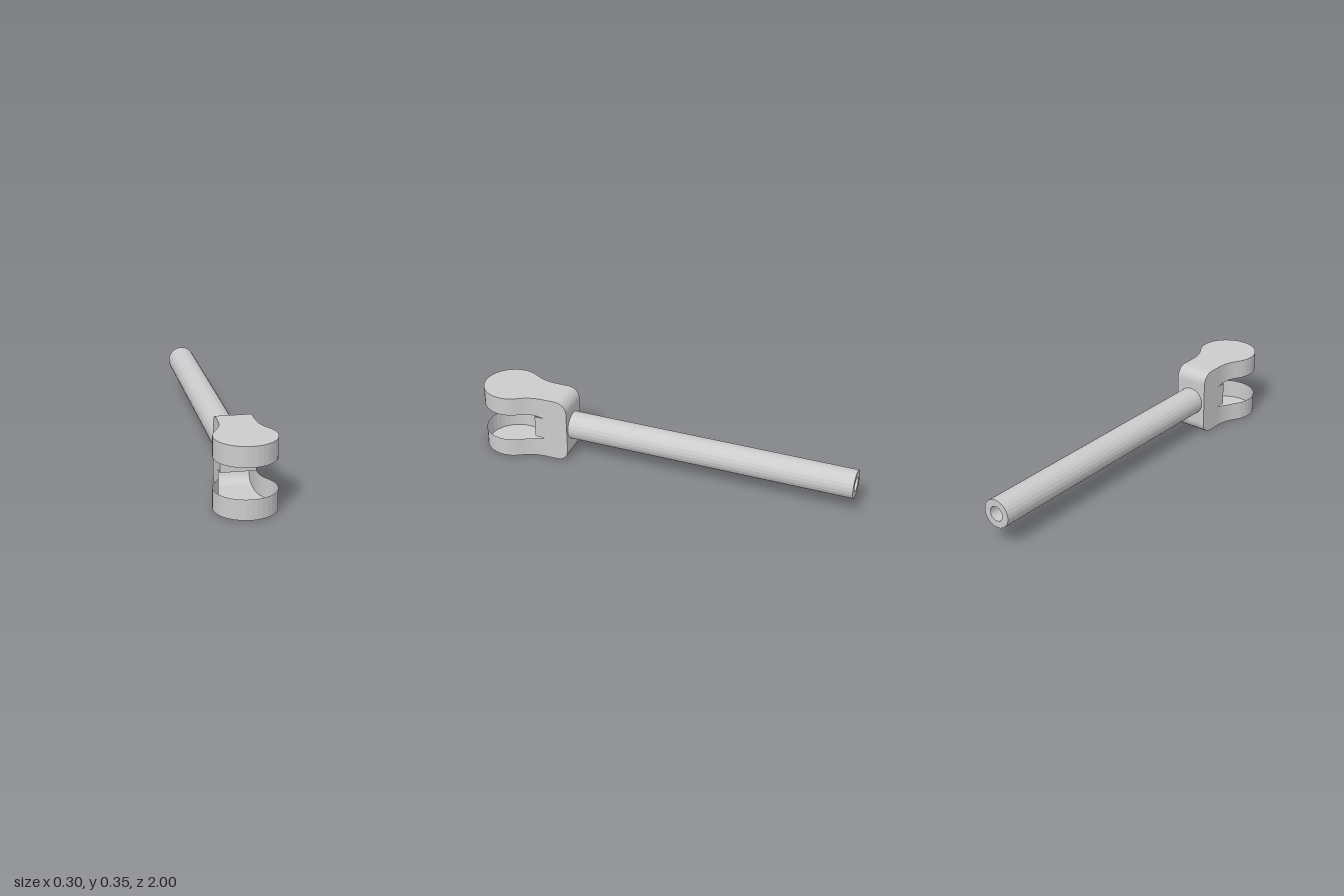
import * as THREE from 'three';

const H = 0.35;                       // fork height
const MID = H / 2;
const W = 0.087;                      // half width of the yoke
const BACK = 0.51, NECK = 0.64, PLATE = 0.69;
const FILLET = 0.06;                  // rounding of the yoke's rear edges
const EYE = { z: 0.85, r: 0.15 };     // round end of each arm
const FLARE = { x: 0.319, z: NECK, r: 0.232 }; // concave arc from neck to eye

const mat = new THREE.MeshStandardMaterial({ color: 0xcccccc, flatShading: true, side: THREE.DoubleSide });

function mesh(geometry, name) {
  geometry.computeVertexNormals();
  const m = new THREE.Mesh(geometry, mat);
  m.name = name;
  return m;
}

// surface between two rows of points
function ribbon(a, b) {
  const pos = [], idx = [];
  a.forEach((p, i) => {
    pos.push(...p, ...b[i]);
    if (i) idx.push(2 * i - 2, 2 * i - 1, 2 * i, 2 * i, 2 * i - 1, 2 * i + 1);
  });
  const g = new THREE.BufferGeometry();
  g.setAttribute('position', new THREE.Float32BufferAttribute(pos, 3));
  g.setIndex(idx);
  return g;
}

// points on an arc, angles in radians
function arc(cx, cy, r, a0, a1, n) {
  return Array.from({ length: n + 1 }, (_, i) => {
    const a = a0 + (a1 - a0) * i / n;
    return [cx + r * Math.cos(a), cy + r * Math.sin(a)];
  });
}

// arm outline in x,z: right neck, flare, eye, flare, left neck
function armOutline() {
  const t = Math.atan2(EYE.z - FLARE.z, -FLARE.x);
  const flare = arc(FLARE.x, FLARE.z, FLARE.r, Math.PI, t, 8);
  const a = t - Math.PI;
  const eye = arc(0, EYE.z, EYE.r, a, Math.PI - a, 24).slice(1, -1);
  return [...flare, ...eye, ...flare.map(([x, z]) => [-x, z]).reverse()];
}

// rear profile in z,y, from bottom to top
function rearProfile() {
  const c = BACK + FILLET;
  return [
    ...arc(c, FILLET, FILLET, Math.PI * 1.5, Math.PI, 6),
    ...arc(c, H - FILLET, FILLET, Math.PI, Math.PI / 2, 6),
  ];
}

export function createModel() {
  const model = new THREE.Group();
  const outline = armOutline();
  const rear = rearProfile();

  // hollow fork arms: a rim wall and an outer cover each
  const rimOffset = z => 0.06 + 0.015 * Math.min(1, (z - NECK) / 0.075);
  const capShape = new THREE.Shape([
    [W, BACK + FILLET], ...outline, [-W, BACK + FILLET],
  ].map(p => new THREE.Vector2(...p)));
  for (const [s, name] of [[1, 'upperArm'], [-1, 'lowerArm']]) {
    const arm = new THREE.Group();
    arm.name = name;
    arm.add(mesh(ribbon(
      outline.map(([x, z]) => [x, MID + s * MID, z]),
      outline.map(([x, z]) => [x, MID + s * rimOffset(z), z])
    ), 'armRim'));
    const cover = mesh(new THREE.ShapeGeometry(capShape).rotateX(Math.PI / 2), 'armCover');
    cover.position.y = MID + s * MID;
    arm.add(cover);
    model.add(arm);
  }

  // yoke: rounded back, two flat cheeks with a tongue, and the slot plate
  const yoke = new THREE.Group();
  yoke.name = 'yoke';
  yoke.add(mesh(ribbon(
    rear.map(([z, y]) => [W, y, z]),
    rear.map(([z, y]) => [-W, y, z])
  ), 'yokeBack'));
  const cheekShape = new THREE.Shape([
    [NECK, 0], ...rear, [NECK, H],
    [NECK, MID + 0.06], [PLATE, MID + 0.06], [PLATE, MID - 0.06], [NECK, MID - 0.06],
  ].map(([z, y]) => new THREE.Vector2(-z, y)));
  for (const s of [1, -1]) {
    const cheek = mesh(new THREE.ShapeGeometry(cheekShape).rotateY(Math.PI / 2), s > 0 ? 'leftCheek' : 'rightCheek');
    cheek.position.x = s * W;
    yoke.add(cheek);
  }
  const plate = mesh(new THREE.PlaneGeometry(2 * W, 0.12), 'slotPlate');
  plate.position.set(0, MID, PLATE);
  yoke.add(plate);
  model.add(yoke);

  // hollow rod
  const profile = [[0.038, BACK], [0.038, -1], [0.073, -1], [0.073, BACK]]
    .map(p => new THREE.Vector2(...p));
  const rod = mesh(new THREE.LatheGeometry(profile, 24).rotateX(Math.PI / 2), 'rod');
  rod.position.y = MID;
  model.add(rod);

  return model;
}
